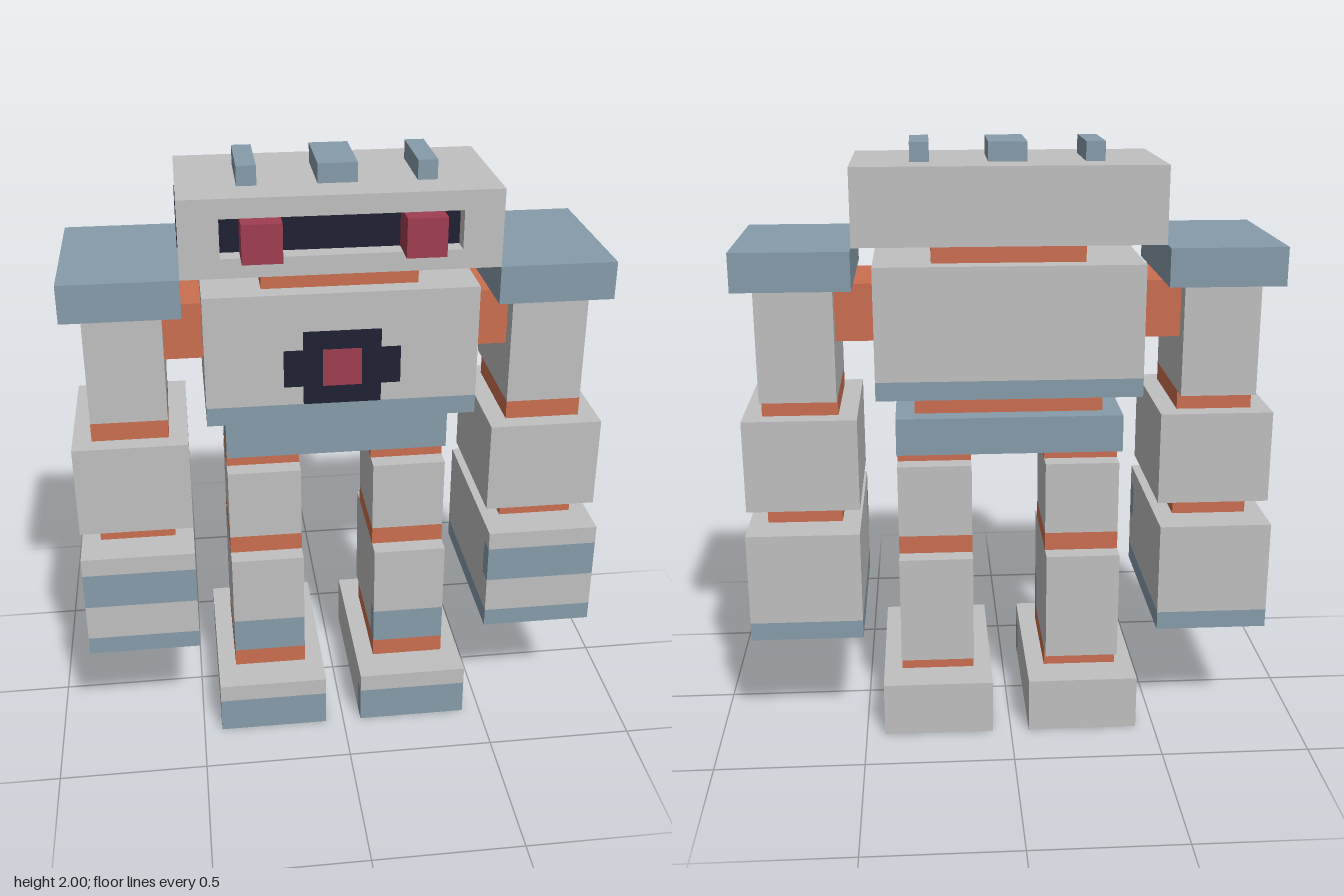
import * as THREE from 'three';

const U = 1 / 16; // size of one block unit

export function createModel() {
  const mat = (name, color) => {
    const m = new THREE.MeshStandardMaterial({ color });
    m.name = name;
    return m;
  };
  const grey = mat('light grey', 0xc0c0c0);
  const blue = mat('steel blue', 0x879caa);
  const orange = mat('joint orange', 0xcb6f50);
  const dark = mat('dark glass', 0x1f2134);
  const red = mat('lens red', 0xa03e51);

  const robot = new THREE.Group();
  robot.name = 'robot';

  const group = (name) => {
    const g = new THREE.Group();
    g.name = name;
    robot.add(g);
    return g;
  };

  // Box given by its [min, max] range on each axis, in block units
  const box = (parent, name, material, [x0, x1], [y0, y1], [z0, z1]) => {
    const geo = new THREE.BoxGeometry((x1 - x0) * U, (y1 - y0) * U, (z1 - z0) * U);
    const mesh = new THREE.Mesh(geo, material);
    mesh.position.set((x0 + x1) / 2 * U, (y0 + y1) / 2 * U, (z0 + z1) / 2 * U);
    mesh.name = name;
    parent.add(mesh);
  };
  const T = 0.04; // thickness of painted plates

  // Head: solid back with a frame around the recessed visor
  const head = group('head');
  box(head, 'skull', grey, [-8, 8], [27, 31], [-4, 3]);
  box(head, 'brow', grey, [-8, 8], [30, 31], [3, 4]);
  box(head, 'jaw', grey, [-8, 8], [27, 28], [3, 4]);
  box(head, 'visor', dark, [-6, 6], [28, 30], [3, 3 + T]);
  box(head, 'middleFin', blue, [-1, 1], [31, 32], [-2, 2]);

  // Torso
  const torso = group('torso');
  box(torso, 'neck', orange, [-4, 4], [26, 27], [-3, 3]);
  box(torso, 'chest', grey, [-7, 7], [20, 26], [-4, 4]);
  box(torso, 'belt', blue, [-7, 7], [19, 20], [-4, 4]);
  box(torso, 'waist', orange, [-5, 5], [18, 19], [-3, 1]);
  box(torso, 'pelvis', blue, [-6, 6], [16, 18], [-4, 2]);

  // Chest lamp: a cross-shaped dark plate with a red centre
  box(torso, 'lampPlateTop', dark, [-2, 2], [23, 24], [4, 4 + T]);
  box(torso, 'lampPlateMiddle', dark, [-3, 3], [21, 23], [4, 4 + T]);
  box(torso, 'lampPlateBottom', dark, [-2, 2], [20, 21], [4, 4 + T]);
  box(torso, 'lamp', red, [-1, 1], [21, 23], [4, 4 + 2 * T]);

  // Paired parts
  for (const s of [1, -1]) {
    const side = s > 0 ? 'left' : 'right';
    const mx = (a, b) => (s > 0 ? [a, b] : [-b, -a]);

    box(head, side + 'Cheek', grey, mx(6, 8), [28, 30], [3, 4]);
    box(head, side + 'Eye', red, mx(3, 5), [28, 30], [3, 5]);
    box(head, side + 'Window', dark, mx(8, 8 + T), [28, 30], [-2, 2]);
    box(head, side + 'Fin', blue, mx(4, 5), [31, 32], [-2, 2]);

    // Arm
    const arm = group(side + 'Arm');
    box(arm, 'shoulderJoint', orange, mx(7, 9), [22, 25], [-3, 2]);
    box(arm, 'shoulderPad', blue, mx(8, 14), [25, 27], [-5, 4]);
    box(arm, 'upperArm', grey, mx(9, 13), [19, 25], [-4, 3]);
    box(arm, 'elbow', orange, mx(9, 13), [18, 19], [-3, 3]);
    box(arm, 'forearm', grey, mx(8, 14), [13, 18], [-4, 4]);
    box(arm, 'forearmPanel', blue, mx(14, 14 + T), [14, 17], [-2, 2]);
    box(arm, 'wrist', orange, mx(9, 13), [12, 13], [-3, 3]);

    // Hand: grey block with a blue base and a blue band on its front layer
    box(arm, 'handBack', grey, mx(8, 14), [7, 12], [-5, 4]);
    box(arm, 'handFrontTop', grey, mx(8, 14), [11, 12], [4, 5]);
    box(arm, 'knuckleBand', blue, mx(8, 14), [9, 11], [4, 5]);
    box(arm, 'handFrontBottom', grey, mx(8, 14), [7, 9], [4, 5]);
    box(arm, 'handBase', blue, mx(8, 14), [6, 7], [-5, 5]);

    // Leg
    const leg = group(side + 'Leg');
    box(leg, 'hip', orange, mx(2, 6), [15, 16], [-2, 1]);
    box(leg, 'thigh', grey, mx(2, 6), [11, 15], [-3, 2]);
    box(leg, 'knee', orange, mx(2, 6), [10, 11], [-3, 2]);
    box(leg, 'shin', grey, mx(2, 6), [4, 10], [-4, 2]);
    box(leg, 'shinFront', grey, mx(2, 6), [6, 10], [2, 3]);
    box(leg, 'shinGuard', blue, mx(2, 6), [4, 6], [2, 3]);
    box(leg, 'ankle', orange, mx(2, 6), [3, 4], [-3, 3]);

    // Foot with a blue toe cap
    box(leg, 'foot', grey, mx(1, 7), [0, 3], [-5, 4]);
    box(leg, 'toeTop', grey, mx(1, 7), [2, 3], [4, 5]);
    box(leg, 'toeCap', blue, mx(1, 7), [0, 2], [4, 5]);
  }

  return robot;
}
